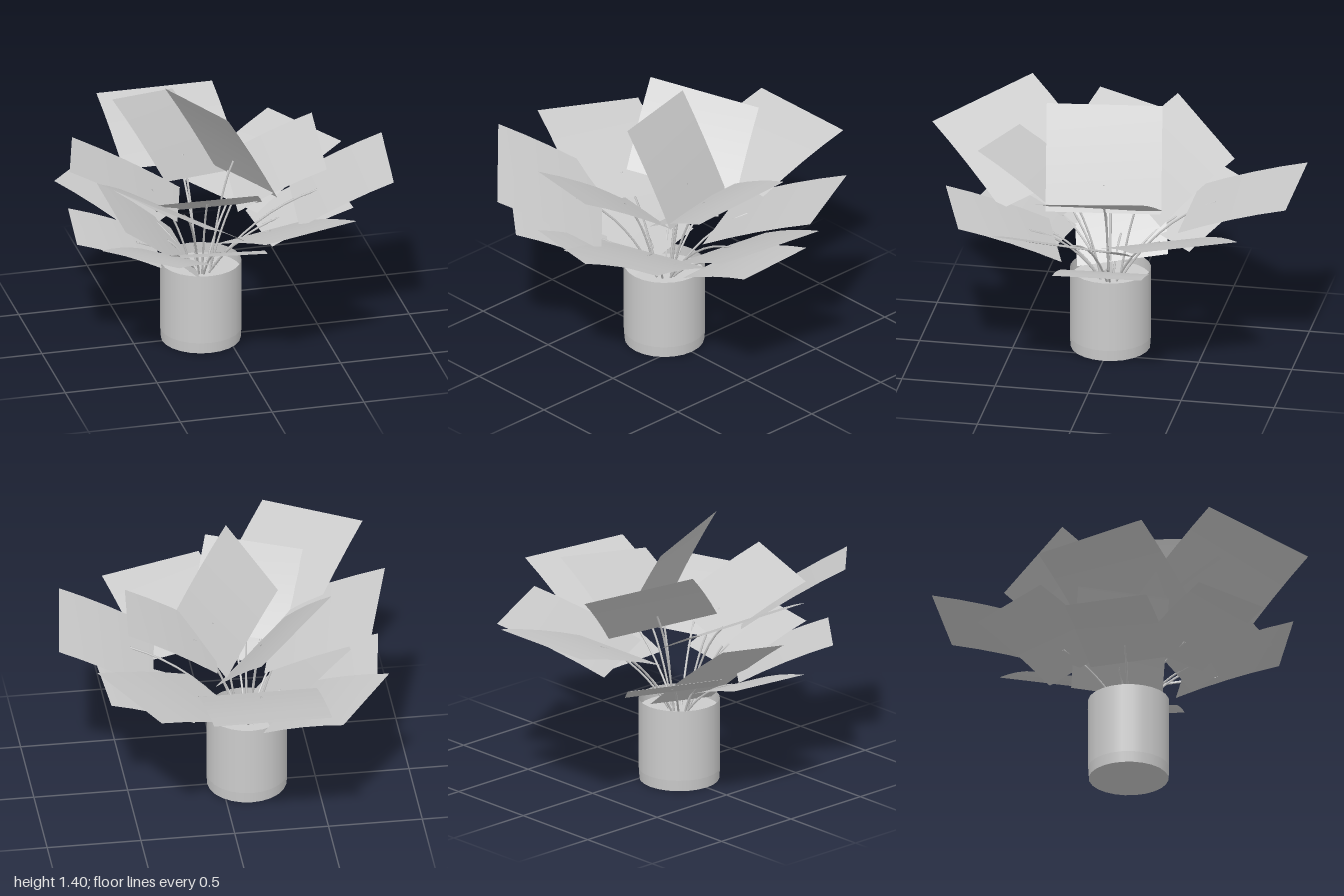
import * as THREE from 'three';

const POT_X = -0.135, POT_R = 0.215, POT_H = 0.45, BAND_H = 0.06;

// Each leaf: the two ends of its outer edge, then its run inward and its drop
const LEAVES = [
  [-0.45, 1.0, -1.0, 0.18, 1.0, -1.0, 0.58, 0.18],
  [0.43, 0.91, -0.79, 0.7, 0.92, -0.27, 0.6, 0.23],
  [0.53, 1.12, -0.24, 0.47, 1.05, 0.32, 0.47, 0.23],
  [0.89, 1.0, -0.16, 0.8, 1.0, 0.46, 0.5, 0.24],
  [0.54, 0.91, 0.69, 0, 0.91, 0.86, 0.55, 0.22],
  [0.04, 0.8, 0.74, -0.41, 0.79, 0.66, 0.45, 0.2],
  [-0.01, 1.12, 0.69, -0.55, 1.06, 0.55, 0.5, 0.27],
  [-0.36, 1.11, 1.0, -0.83, 1.22, 0.55, 0.55, 0.32],
  [-0.9, 1.14, 0.2, -0.74, 1.06, -0.38, 0.57, 0.27],
  [-0.545, 1.3, -0.285, -0.12, 1.14, -0.67, 0.4, 0.34],
  [-0.845, 0.83, -0.35, -0.545, 0.78, -0.74, 0.5, 0.22],
  [-0.865, 0.72, 0.22, -0.8, 0.72, -0.23, 0.45, 0.16],
  [-0.45, 0.79, 0.78, -0.8, 0.8, 0.49, 0.5, 0.2],
  [-0.62, 0.8, 0.3, -0.665, 0.89, -0.18, 0.45, 0.38],
  [0.63, 0.735, -0.31, 0.655, 0.735, 0.165, 0.45, 0.165],
  [-0.07, 1.4, 0.33, -0.265, 1.345, -0.255, 0.28, 0.5],
];

// Point on a rectangular leaf: u runs along the outer edge, v from there inward
function leafPoint([ax, ay, az, bx, by, bz, run, drop], u, v) {
  const edge = new THREE.Vector3(bx - ax, by - ay, bz - az);
  const along = new THREE.Vector3(edge.x, 0, edge.z);
  const width = along.length();
  along.divideScalar(width);
  // The shift along the edge keeps the corners square on a tilted leaf
  const side = new THREE.Vector3(-along.z * run, -drop, along.x * run)
    .addScaledVector(along, drop * edge.y / width);
  const p = new THREE.Vector3(ax, ay, az).addScaledVector(edge, u).addScaledVector(side, v);
  p.y += 0.05 * v * (1 - v); // gentle arch along the length
  return p;
}

function leafGeometry(leaf) {
  const g = new THREE.PlaneGeometry(1, 1, 1, 4);
  const pos = g.attributes.position;
  for (let i = 0; i < pos.count; i++) {
    const p = leafPoint(leaf, pos.getX(i) + 0.5, 0.5 - pos.getY(i));
    pos.setXYZ(i, p.x, p.y, p.z);
  }
  // Outer edge is the plane's top row, so the upper side faces up
  g.computeVertexNormals();
  return g;
}

// Thin stem curving from the soil to the underside of a leaf
function stemGeometry(leaf) {
  const tip = leafPoint(leaf, 0.5, 0.75);
  const angle = Math.atan2(tip.z, tip.x - POT_X);
  const base = new THREE.Vector3(POT_X + 0.05 * Math.cos(angle), 0.38, 0.05 * Math.sin(angle));
  const bend = base.clone().lerp(tip, 0.4);
  bend.y = base.y + (tip.y - base.y) * 0.75;
  return new THREE.TubeGeometry(new THREE.QuadraticBezierCurve3(base, bend, tip), 8, 0.006, 5);
}

export function createModel() {
  const model = new THREE.Group();
  const grey = new THREE.MeshStandardMaterial({ color: 0xcccccc, side: THREE.DoubleSide });
  const add = (name, geometry, parent = model) => {
    const mesh = new THREE.Mesh(geometry, grey);
    mesh.name = name;
    parent.add(mesh);
    return mesh;
  };

  // Pot: straight wall above a base band, closed underneath
  const wall = add('potWall', new THREE.CylinderGeometry(POT_R, POT_R, POT_H - BAND_H, 24, 1, true));
  wall.position.set(POT_X, (POT_H + BAND_H) / 2, 0);
  const band = add('potBaseBand', new THREE.CylinderGeometry(POT_R, POT_R - 0.004, BAND_H, 24, 1, true));
  band.position.set(POT_X, BAND_H / 2, 0);
  const bottom = add('potBottom', new THREE.CircleGeometry(POT_R - 0.004, 24));
  bottom.rotation.x = Math.PI / 2;
  bottom.position.set(POT_X, 0, 0);

  // Soil
  const soil = add('soil', new THREE.CircleGeometry(POT_R, 24));
  soil.rotation.x = -Math.PI / 2;
  soil.position.set(POT_X, 0.39, 0);

  // Leaves with their stems
  LEAVES.forEach((leaf, i) => {
    const frond = new THREE.Group();
    frond.name = `frond${i + 1}`;
    add('leaf', leafGeometry(leaf), frond);
    add('stem', stemGeometry(leaf), frond);
    model.add(frond);
  });

  return model;
}
